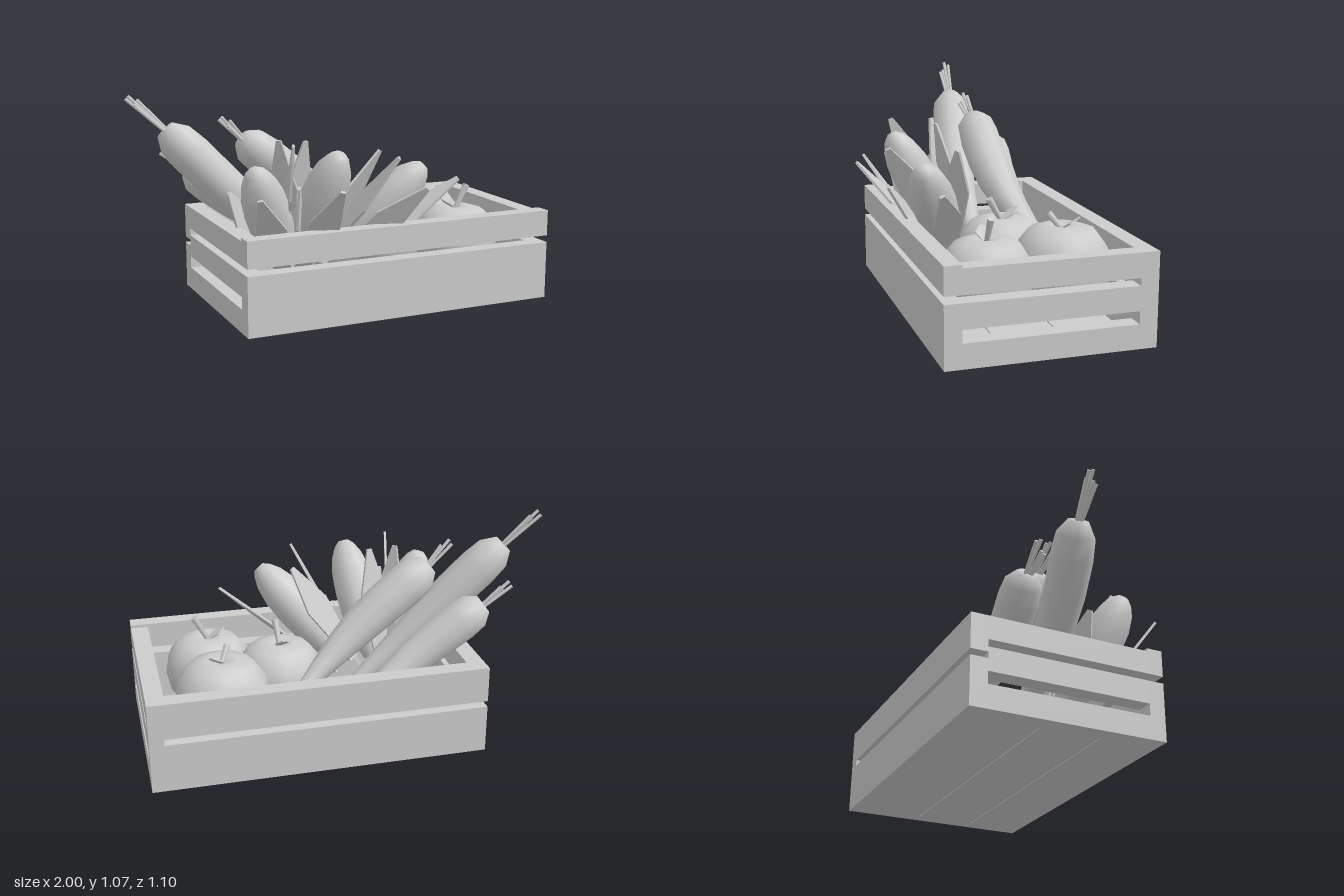
import * as THREE from 'three';
import { mergeVertices } from 'three/addons/utils/BufferGeometryUtils.js';

const V = (a) => new THREE.Vector3(...a);
const grey = new THREE.MeshStandardMaterial({ color: 0xcccccc, side: THREE.DoubleSide });

function add(parent, name, geometry) {
  const mesh = new THREE.Mesh(geometry, grey);
  mesh.name = name;
  parent.add(mesh);
  return mesh;
}

// Box given by its lower and upper limits on each axis
function board(parent, name, [x0, x1], [y0, y1], [z0, z1]) {
  const mesh = add(parent, name, new THREE.BoxGeometry(x1 - x0, y1 - y0, z1 - z0));
  mesh.position.set((x0 + x1) / 2, (y0 + y1) / 2, (z0 + z1) / 2);
}

// Round body swept along a curve; rings are [position along curve, radius]
function taperedBody(points, rings, sides) {
  const curve = new THREE.CatmullRomCurve3(points.map(V));
  const geo = new THREE.TubeGeometry(curve, rings.length - 1, 1, sides);
  const pos = geo.attributes.position, p = new THREE.Vector3();
  for (let i = 0; i < pos.count; i++) {
    const [t, radius] = rings[Math.floor(i / (sides + 1))];
    p.fromBufferAttribute(geo.attributes.normal, i).multiplyScalar(radius).add(curve.getPointAt(t));
    pos.setXYZ(i, p.x, p.y, p.z);
  }
  geo.deleteAttribute('uv');
  geo.deleteAttribute('normal');
  const merged = mergeVertices(geo, 1e-5);
  merged.computeVertexNormals();
  return merged;
}

// Thin rod between two points
function rod(parent, name, from, to, r0, r1, sides = 5) {
  const dir = to.clone().sub(from);
  const mesh = add(parent, name, new THREE.CylinderGeometry(r1, r0, dir.length(), sides));
  mesh.position.copy(from).addScaledVector(dir, 0.5);
  mesh.quaternion.setFromUnitVectors(new THREE.Vector3(0, 1, 0), dir.normalize());
}

// Flat pointed leaf from base to tip, its face turned towards "facing"
function leaf(parent, name, base, tip, width, facing, thick) {
  const along = tip.clone().sub(base), len = along.length();
  along.normalize();
  const side = along.clone().cross(facing).normalize();
  const normal = side.clone().cross(along);
  const shape = new THREE.Shape([
    [-0.2, 0], [0.2, 0], [0.5, 0.6], [0.08, 1], [-0.08, 1], [-0.5, 0.6],
  ].map(([x, y]) => new THREE.Vector2(x * width, y * len)));
  const geo = new THREE.ExtrudeGeometry(shape, { depth: thick, bevelEnabled: false });
  geo.applyMatrix4(new THREE.Matrix4().makeBasis(side, along, normal).setPosition(base));
  add(parent, name, geo);
}

function createCrate() {
  const crate = new THREE.Group();
  crate.name = 'crate';
  // long sides
  board(crate, 'frontLowerBoard', [-0.61, 1], [0, 0.29], [0.34, 0.42]);
  board(crate, 'frontUpperBoard', [-0.61, 1], [0.325, 0.455], [0.34, 0.42]);
  board(crate, 'backLowerBoard', [-0.61, 1], [0, 0.235], [-0.55, -0.465]);
  board(crate, 'backUpperBoard', [-0.61, 1], [0.265, 0.44], [-0.55, -0.465]);
  board(crate, 'backCornerBlock', [0.93, 1], [0.23, 0.27], [-0.55, -0.465]);
  // slatted ends
  for (const [name, x] of [['left', [0.915, 1]], ['right', [-0.61, -0.525]]])
    for (const y of [[0, 0.115], [0.175, 0.29], [0.325, 0.44]])
      board(crate, name + 'EndSlat', x, y, [-0.465, 0.34]);
  // floor
  for (const z of [[-0.465, -0.178], [-0.172, 0.122], [0.128, 0.34]])
    board(crate, 'floorBoard', [-0.525, 0.915], [0, 0.035], z);
  return crate;
}

// "lean" is the x, z direction the stem bends in; the leaf lies opposite
function createTomato([x, y, z], r, h, lean, stemTop) {
  const tomato = new THREE.Group();
  tomato.name = 'tomato';
  const profile = [[0, -0.9], [0.3, -1], [0.65, -0.87], [0.9, -0.48], [1, 0.05],
    [0.93, 0.52], [0.68, 0.88], [0.35, 1], [0.12, 0.95], [0, 0.85]];
  add(tomato, 'tomatoBody', new THREE.LatheGeometry(
    profile.map(([a, b]) => new THREE.Vector2(a * r, b * h)), 12));
  const top = new THREE.Vector3(0, h * 0.88, 0);
  const bend = (out, height) => new THREE.Vector3(lean[0] * out, height, lean[1] * out);
  rod(tomato, 'tomatoStem', top, bend(0.065, stemTop - y), 0.012, 0.018, 6);
  leaf(tomato, 'tomatoLeaf', top, bend(-0.085, h + 0.035), 0.075, V([0, 1, 0]), 0.006);
  tomato.position.set(x, y, z);
  return tomato;
}

function createCarrot(points, size, greens) {
  const carrot = new THREE.Group();
  carrot.name = 'carrot';
  const rings = [[0, 0], [0, 0.052], [0.055, 0.096], [0.14, 0.106], [0.28, 0.104], [0.42, 0.095],
    [0.55, 0.079], [0.7, 0.056], [0.85, 0.033], [0.95, 0.016], [1, 0]];
  add(carrot, 'carrotRoot', taperedBody(points, rings.map(([t, r]) => [t, r * size]), 10));
  // cut stalks fanning from the crown
  const head = V(points[0]), tip = V(greens);
  const inside = head.clone().lerp(tip, -0.15);
  [[0, 0, 0], [0.025, -0.04, 0.015], [-0.005, -0.015, -0.025], [0.045, -0.02, -0.012], [0.03, -0.05, 0.03]]
    .forEach((o) => rod(carrot, 'carrotStalk', inside.clone().addScaledVector(V(o), 0.4),
      tip.clone().add(V(o)), 0.007, 0.009));
  return carrot;
}

function createCorn(base, tip, husks) {
  const corn = new THREE.Group();
  corn.name = 'corn';
  const b = V(base), t = V(tip), mid = b.clone().lerp(t, 0.55);
  const rings = [[0, 0], [0.05, 0.05], [0.2, 0.085], [0.4, 0.105], [0.58, 0.11], [0.75, 0.103],
    [0.88, 0.082], [0.96, 0.054], [1, 0.028], [1, 0]];
  add(corn, 'cornEar', taperedBody([base, mid.toArray(), tip], rings, 10));
  // husk leaves spread around the ear
  for (const h of husks) {
    const end = V(h);
    const out = end.clone().sub(mid).projectOnPlane(t.clone().sub(b).normalize()).normalize();
    leaf(corn, 'cornHusk', b.clone().addScaledVector(out, 0.07), end, 0.15, out, 0.012);
  }
  return corn;
}

export function createModel() {
  const model = new THREE.Group();
  model.name = 'vegetableCrate';
  model.add(createCrate());

  model.add(
    createTomato([0.62, 0.28, -0.245], 0.228, 0.21, [-0.6, 0.8], 0.535),
    createTomato([0.305, 0.28, -0.06], 0.215, 0.185, [0.1, 1], 0.555),
    createTomato([0.635, 0.27, 0.12], 0.217, 0.188, [1, 0], 0.56),
  );

  model.add(
    createCarrot([[-0.82, 0.9, -0.125], [-0.52, 0.59, -0.07], [-0.2, 0.3, -0.06], [0.08, 0.1, -0.12]],
      0.98, [-0.99, 1.065, -0.14]),
    createCarrot([[-0.43, 0.83, -0.14], [-0.1, 0.57, -0.16], [0.15, 0.37, -0.24], [0.36, 0.22, -0.37]],
      0.99, [-0.54, 0.945, -0.12]),
    createCarrot([[-0.66, 0.665, -0.305], [-0.35, 0.44, -0.29], [-0.08, 0.27, -0.36], [0.16, 0.17, -0.46]],
      0.95, [-0.79, 0.77, -0.3]),
  );

  model.add(
    createCorn([-0.3, 0.22, 0.08], [-0.52, 0.75, 0.28],
      [[-0.55, 0.64, 0.43], [-0.57, 0.61, 0.07], [-0.34, 0.85, 0.12], [-0.33, 0.66, 0.34]]),
    createCorn([-0.22, 0.24, 0.06], [-0.13, 0.81, 0.37],
      [[-0.19, 0.67, 0.535], [-0.2, 0.84, 0.13], [-0.34, 0.855, 0.33], [0.13, 0.79, 0.45]]),
    createCorn([-0.08, 0.24, 0.1], [0.33, 0.72, 0.33],
      [[0.27, 0.64, 0.48], [0.54, 0.64, 0.3], [0.2, 0.77, 0.13]]),
  );
  return model;
}
